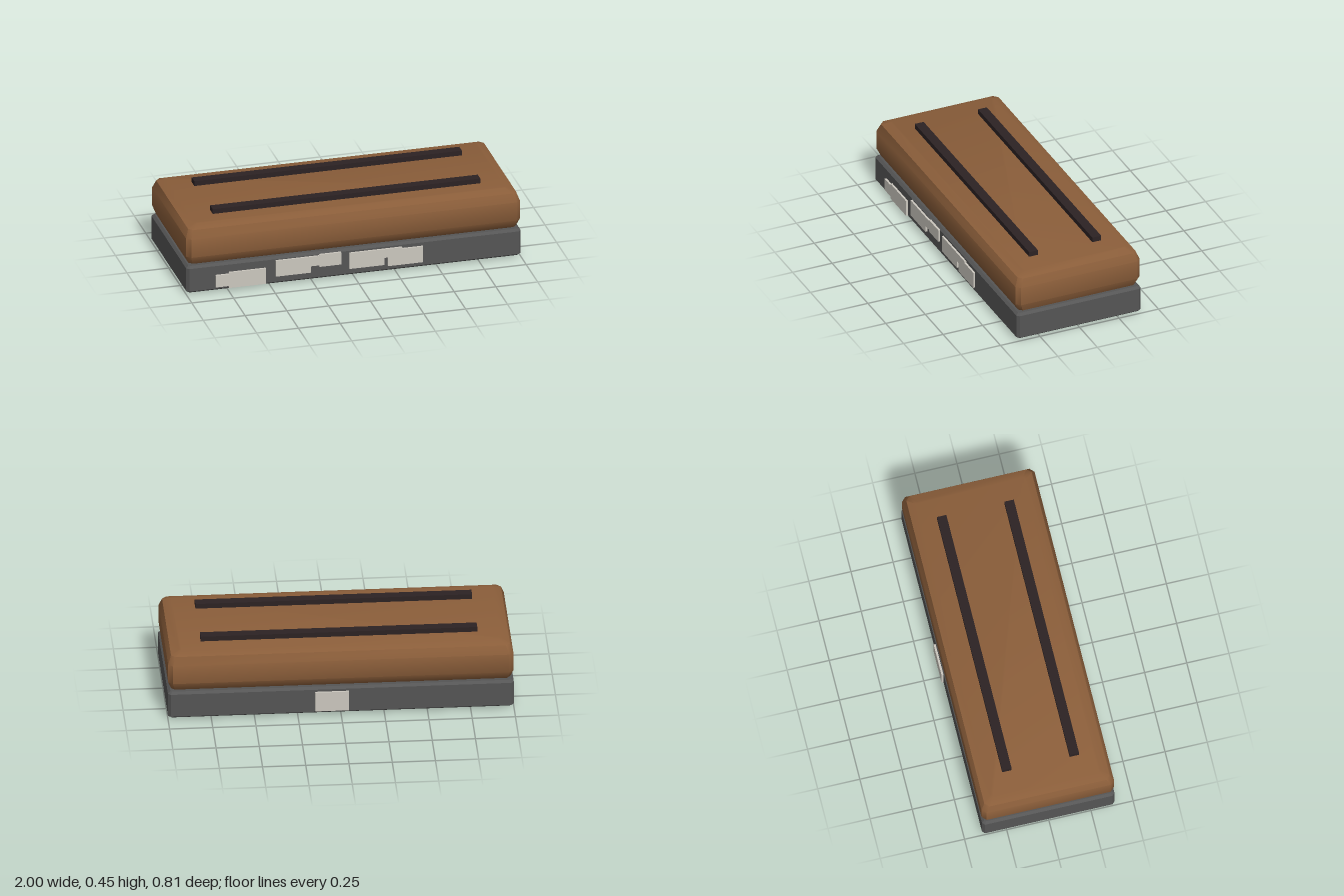
import * as THREE from 'three';
import { toCreasedNormals } from 'three/addons/utils/BufferGeometryUtils.js';

const mat = (name, color) => {
  const m = new THREE.MeshStandardMaterial({ color });
  m.name = name;
  return m;
};

// Stacks octagonal rings [y, halfX, halfZ, cornerCut] into a closed, bevelled slab.
function loftSlab(rings, crease) {
  const pos = [], idx = [], n = 8;
  for (const [y, x, z, c] of rings) {
    const plan = [[x, z - c], [x, c - z], [x - c, -z], [c - x, -z],
      [-x, c - z], [-x, z - c], [c - x, z], [x - c, z]];
    for (const [px, pz] of plan) pos.push(px, y, pz);
  }
  for (let r = 0; r < rings.length - 1; r++) {
    for (let i = 0; i < n; i++) {
      const a = r * n + i, b = r * n + (i + 1) % n;
      idx.push(a, b, b + n, a, b + n, a + n);
    }
  }
  const top = (rings.length - 1) * n;
  for (let i = 1; i < n - 1; i++) {
    idx.push(0, i + 1, i);
    idx.push(top, top + i, top + i + 1);
  }
  const g = new THREE.BufferGeometry();
  g.setAttribute('position', new THREE.Float32BufferAttribute(pos, 3));
  g.setIndex(idx);
  return toCreasedNormals(g, crease);
}

export function createModel() {
  const model = new THREE.Group();
  model.name = 'cushionedSlab';
  const leather = mat('brown leather', 0x8b5e3a);
  const metal = mat('dark grey base', 0x555555);
  const pale = mat('pale plate', 0xcbc7be);
  const dark = mat('dark strap', 0x2c2223);

  const add = (name, geometry, material, parent = model) => {
    const m = new THREE.Mesh(geometry, material);
    m.name = name;
    parent.add(m);
    return m;
  };
  const box = (name, x0, x1, y0, y1, z0, z1, material, parent) =>
    add(name, new THREE.BoxGeometry(x1 - x0, y1 - y0, z1 - z0), material, parent)
      .position.set((x0 + x1) / 2, (y0 + y1) / 2, (z0 + z1) / 2);

  // Base with narrow chamfers
  add('base', loftSlab([
    [0.01, 0.985, 0.378, 0.008],
    [0.022, 1, 0.393, 0.015],
    [0.165, 1, 0.393, 0.015],
    [0.178, 0.985, 0.378, 0.008],
  ], 0.3), metal);
  box('bottomPlate', -0.96, 0.96, 0, 0.012, -0.353, 0.353, pale);

  // Soft upper cushion
  add('cushion', loftSlab([
    [0.176, 0.955, 0.35, 0.015],
    [0.187, 0.98, 0.37, 0.02],
    [0.235, 0.998, 0.393, 0.025],
    [0.35, 0.998, 0.393, 0.025],
    [0.4, 0.98, 0.372, 0.025],
    [0.42, 0.93, 0.325, 0.012],
  ], 0.77), leather);

  // Long straps on top
  for (const s of [1, -1]) {
    box(s > 0 ? 'frontStrap' : 'backStrap', -0.8, 0.8, 0.415, 0.45,
      s * 0.2 - 0.028, s * 0.2 + 0.028, dark);
  }

  // Stepped patches on the front: x0, x1, y0, y1
  const patches = new THREE.Group();
  patches.name = 'frontPatches';
  model.add(patches);
  [
    [-0.83, -0.75, 0.035, 0.11], [-0.75, -0.53, 0.022, 0.12],
    [-0.47, -0.26, 0.06, 0.16], [-0.26, -0.21, 0.1, 0.16], [-0.21, -0.08, 0.09, 0.167],
    [-0.03, 0.18, 0.055, 0.155], [0.18, 0.2, 0.1, 0.155],
    [0.2, 0.285, 0.145, 0.155], [0.2, 0.41, 0.045, 0.145],
  ].forEach(([x0, x1, y0, y1]) => box('frontPatch', x0, x1, y0, y1, 0.392, 0.405, pale, patches));

  // Single patch on the back
  box('backPatch', -0.045, 0.15, 0.03, 0.152, -0.405, -0.392, pale);

  return model;
}
